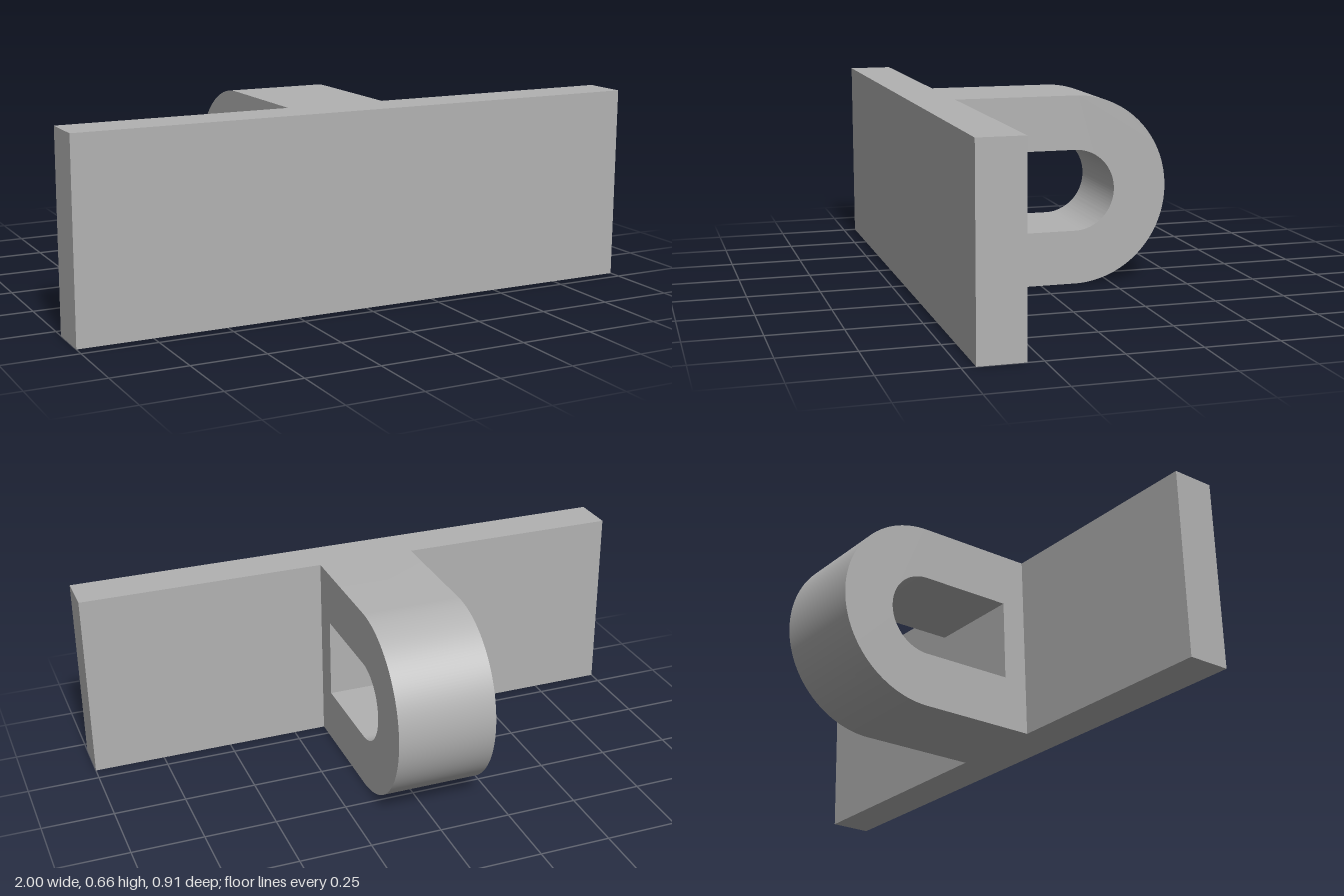
import * as THREE from 'three';
import { toCreasedNormals } from 'three/addons/utils/BufferGeometryUtils.js';

const HEIGHT = 0.663, MID = HEIGHT / 2;
const PLATE_BACK = 0.302, PLATE_FRONT = 0.455;
const LOOP_LEFT = 0.135, LOOP_RIGHT = -0.213;
const ARC_Z = -0.123;

// D-shaped outline: straight edge at z = flatZ, round end towards -z (shape x is -z)
function dOutline(Type, flatZ, radius) {
  const d = new Type();
  d.moveTo(-flatZ, MID - radius);
  d.lineTo(-ARC_Z, MID - radius);
  d.absarc(-ARC_Z, MID, radius, -Math.PI / 2, Math.PI / 2, false);
  d.lineTo(-flatZ, MID + radius);
  d.closePath();
  return d;
}

export function createModel() {
  const group = new THREE.Group();
  group.name = 'plateWithLoop';
  const grey = new THREE.MeshStandardMaterial({ color: 0xb2b2b2 });
  grey.name = 'grey';

  // Flat front plate
  const depth = PLATE_FRONT - PLATE_BACK;
  const plate = new THREE.Mesh(new THREE.BoxGeometry(2, HEIGHT, depth), grey);
  plate.name = 'plate';
  plate.position.set(0, MID, (PLATE_FRONT + PLATE_BACK) / 2);
  group.add(plate);

  // Rear loop with a D-shaped opening, set slightly off centre
  const outline = dOutline(THREE.Shape, PLATE_BACK, MID);
  outline.holes.push(dOutline(THREE.Path, 0.212, 0.1425));
  const geometry = new THREE.ExtrudeGeometry(outline, {
    depth: LOOP_LEFT - LOOP_RIGHT, bevelEnabled: false, curveSegments: 48,
  });
  geometry.rotateY(Math.PI / 2);
  geometry.translate(LOOP_RIGHT, 0, 0);
  const loop = new THREE.Mesh(toCreasedNormals(geometry, 0.5), grey);
  loop.name = 'loop';
  group.add(loop);

  return group;
}
